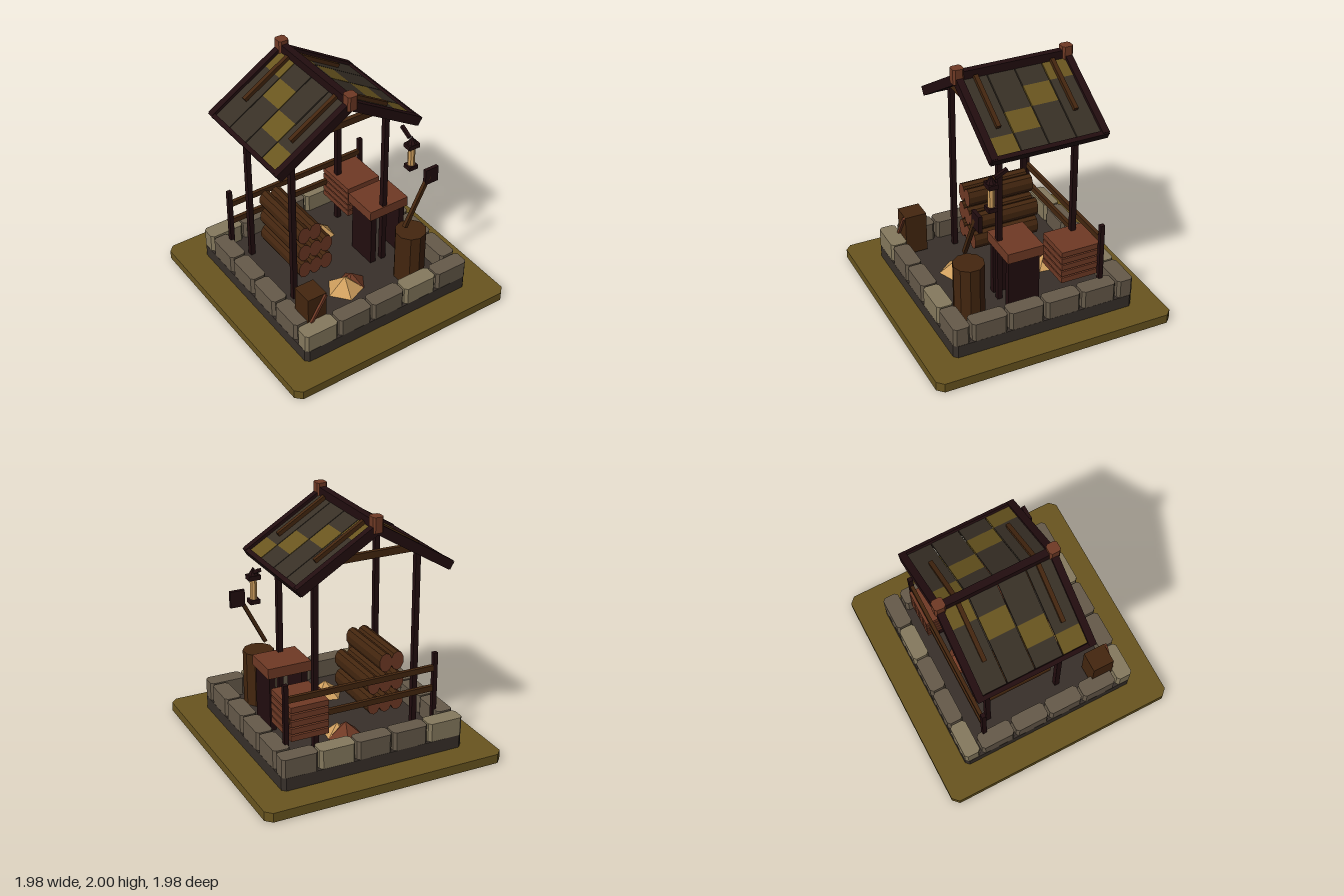
import * as THREE from 'three';

const mat = (name, color) => {
  const m = new THREE.MeshStandardMaterial({ color });
  m.name = name;
  m.flatShading = true;
  return m;
};

export function createModel() {
  const root = new THREE.Group();
  root.name = 'campShelter';

  const grass = mat('grassOlive', 0x69551f);
  const slab = mat('darkEarth', 0x38302a);
  const stone = mat('stone', 0x665a4a);
  const paleStone = mat('paleStone', 0x867a5e);
  const darkWood = mat('darkWood', 0x220d0f);
  const brown = mat('brownWood', 0x44260f);
  const red = mat('redWood', 0x703a25);
  const tan = mat('warmTan', 0xcf9f5e);
  const shingle = mat('shingle', 0x383026);

  const add = (name, geo, m, x, y, z, parent = root) => {
    const mesh = new THREE.Mesh(geo, m);
    mesh.name = name;
    mesh.position.set(x, y, z);
    parent.add(mesh);
    return mesh;
  };
  const box = (name, m, w, h, d, x, y, z, parent) =>
    add(name, new THREE.BoxGeometry(w, h, d), m, x, y, z, parent);

  // Upright block with cut vertical corners, standing on y
  const block = (name, m, w, h, d, c, x, y, z) => {
    const a = w / 2, b = d / 2;
    const pts = [[-a + c, -b], [a - c, -b], [a, -b + c], [a, b - c], [a - c, b], [-a + c, b], [-a, b - c], [-a, -b + c]];
    const shape = new THREE.Shape(pts.map(p => new THREE.Vector2(...p)));
    const geo = new THREE.ExtrudeGeometry(shape, { depth: h, bevelEnabled: false });
    geo.rotateX(-Math.PI / 2);
    return add(name, geo, m, x, y, z);
  };

  // Straight bar between two points
  const beam = (name, m, a, b, w, h) => {
    const A = new THREE.Vector3(...a), B = new THREE.Vector3(...b);
    const mid = A.clone().add(B).multiplyScalar(0.5);
    const mesh = box(name, m, w, h, A.distanceTo(B), mid.x, mid.y, mid.z);
    mesh.lookAt(B);
    return mesh;
  };

  // Ground and foundation
  block('ground', grass, 1.98, 0.075, 1.98, 0.05, 0, 0, 0);
  block('foundation', slab, 1.52, 0.105, 1.52, 0.03, 0, 0.075, 0);

  // Ring of kerb stones
  for (const s of [-1, 1]) {
    for (let i = 0; i < 5; i++) {
      block('kerbStone', i % 3 === 0 ? paleStone : stone, 0.292, 0.15, 0.134, 0.022, (i - 2) * 0.306, 0.18, s * 0.692);
    }
    for (let i = 0; i < 4; i++) {
      block('kerbStone', stone, 0.134, 0.15, 0.29, 0.022, s * 0.692, 0.18, (i - 1.5) * 0.307);
    }
  }

  // Roof: posts, tie beams, rafters, tiles
  const cx = -0.08, ridgeY = 1.907, slope = 0.608, ang = Math.atan(slope);
  const roofPoint = (s, dx, z, lift = 0) => [cx + s * dx, ridgeY - dx * slope + lift, z];
  for (const z of [0.195, -0.435]) {
    for (const s of [-1, 1]) {
      box('shelterPost', darkWood, 0.042, 1.47, 0.042, cx + s * 0.422, 0.915, z);
      beam('roofBatten', brown, roofPoint(s, 0.03, z, 0.03), roofPoint(s, 0.42, z, 0.03), 0.034, 0.035);
    }
    box('tieBeam', brown, 0.8, 0.055, 0.036, cx, 1.657, z);
  }
  for (const s of [-1, 1]) {
    for (const z of [0.325, -0.575]) {
      beam('gableRafter', darkWood, roofPoint(s, 0, z), roofPoint(s, 0.618, z), 0.056, 0.075);
    }
    const eave = box('eaveBeam', darkWood, 0.035, 0.065, 0.95, ...roofPoint(s, 0.612, -0.125));
    eave.rotation.z = -s * ang;
    for (let strip = 0; strip < 4; strip++) {
      for (let i = 0; i < 4; i++) {
        const p = roofPoint(s, (i + 0.5) * 0.154, -0.4625 + strip * 0.225);
        const tile = box('roofTile', i === strip ? grass : shingle, 0.154 / Math.cos(ang), 0.025, 0.217, ...p);
        tile.rotation.z = -s * ang;
      }
    }
  }
  box('ridgeBeam', darkWood, 0.056, 0.07, 0.92, cx, 1.935, -0.125);
  for (const z of [0.33, -0.57]) block('ridgeCap', red, 0.085, 0.12, 0.088, 0.015, cx, 1.88, z);

  // Back fence
  for (const s of [-1, 1]) box('fencePost', darkWood, 0.036, 0.63, 0.036, s * 0.628, 0.495, -0.53);
  for (const y of [0.683, 0.513]) box('fenceRail', brown, 1.24, 0.046, 0.03, 0, y, -0.53);

  // Stacked logs with cut ends
  const logRows = [3, 3, 2];
  logRows.forEach((count, r) => {
    for (let i = 0; i < count; i++) {
      const geo = new THREE.CylinderGeometry(0.056, 0.056, 0.56, 10);
      geo.rotateX(Math.PI / 2);
      geo.scale(1, 1.4, 1);
      // Side, then both end caps
      add('log', geo, [brown, red, red], -0.385 + i * 0.1, 0.39 + r * 0.17, -0.105);
    }
  });

  // Work table
  box('tableTop', red, 0.36, 0.085, 0.3, 0.38, 0.678, 0.075);
  for (const x of [0.245, 0.515]) box('tableSide', darkWood, 0.05, 0.456, 0.26, x, 0.408, 0.08);

  // Plank stack
  for (let i = 0; i < 5; i++) box('plank', red, 0.31, 0.046, 0.355, 0.445, 0.375 + i * 0.058, -0.388);

  // Barrel
  add('barrel', new THREE.CylinderGeometry(0.125, 0.125, 0.45, 10), brown, 0.403, 0.405, 0.477);

  // Mallet leaning above the barrel
  beam('malletHandle', brown, [0.34, 0.69, 0.48], [0.55, 1.1, 0.48], 0.03, 0.03);
  box('malletHead', darkWood, 0.12, 0.135, 0.03, 0.57, 1.098, 0.48);

  // Small chest with a diagonal brace
  box('chest', brown, 0.165, 0.345, 0.18, -0.57, 0.372, 0.535);
  const brace = box('chestBrace', red, 0.022, 0.27, 0.02, -0.57, 0.425, 0.635);
  brace.rotation.z = -0.55;

  // Hanging lantern
  const lantern = new THREE.Group();
  lantern.name = 'lantern';
  lantern.position.set(0.493, 0, 0.33);
  root.add(lantern);
  add('lanternGlass', new THREE.CylinderGeometry(0.029, 0.029, 0.16, 8), tan, 0, 1.22, 0, lantern);
  box('lanternBase', darkWood, 0.08, 0.035, 0.075, 0, 1.122, 0, lantern);
  box('lanternLid', darkWood, 0.098, 0.037, 0.075, 0, 1.32, 0, lantern);
  add('lanternCone', new THREE.ConeGeometry(0.04, 0.065, 8), darkWood, 0, 1.37, 0, lantern);
  beam('lanternArm', darkWood, [0.493, 1.37, 0.3], [0.493, 1.42, 0.2], 0.025, 0.028);

  // Heaps of kindling
  const heap = (m, r, h, x, z, turn) => {
    add('kindlingHeap', new THREE.ConeGeometry(r, h, 5), m, x, 0.18 + h / 2, z).rotation.y = turn;
  };
  heap(tan, 0.15, 0.12, -0.12, 0.335, -0.25);
  heap(red, 0.12, 0.1, -0.04, 0.31, 0.4);
  heap(red, 0.15, 0.12, 0.05, -0.37, 0.3);
  heap(tan, 0.11, 0.1, 0.1, -0.32, 0.8);

  return root;
}
